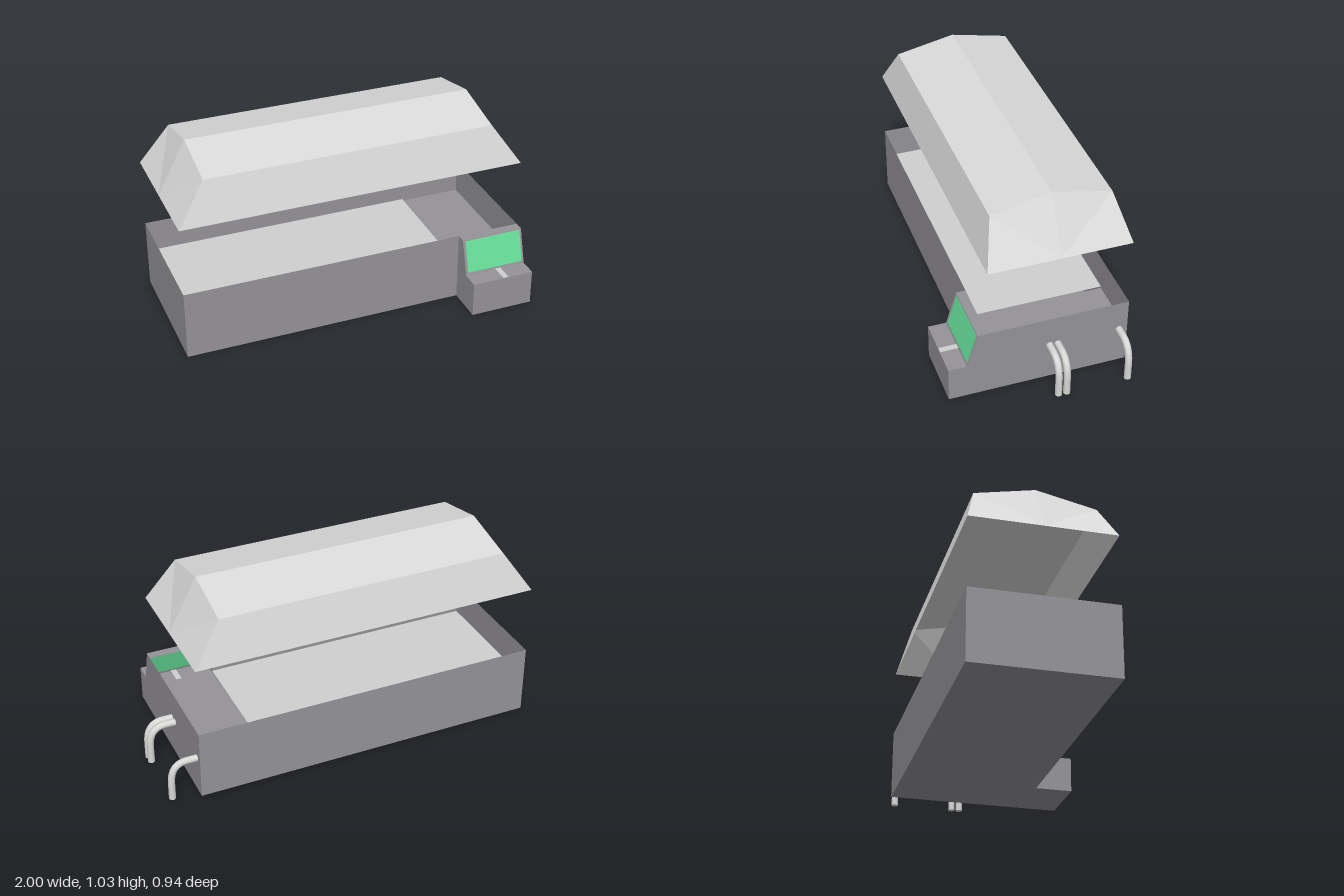
import * as THREE from 'three';

const mat = (name, color) => {
  const m = new THREE.MeshStandardMaterial({ color });
  m.name = name;
  m.side = THREE.DoubleSide;
  return m;
};

// Flat panel: a fan of triangles around its first corner
function panel(parent, name, material, pts) {
  const tris = [];
  for (let i = 1; i < pts.length - 1; i++) tris.push(...pts[0], ...pts[i], ...pts[i + 1]);
  const g = new THREE.BufferGeometry();
  g.setAttribute('position', new THREE.Float32BufferAttribute(tris, 3));
  g.computeVertexNormals();
  const mesh = new THREE.Mesh(g, material);
  mesh.name = name;
  parent.add(mesh);
  return mesh;
}

export function createModel() {
  const root = new THREE.Group();
  root.name = 'tankWithLid';
  const bodyGrey = mat('bodyGrey', 0x959398);
  const lidGrey = mat('lidGrey', 0xdadada);
  const bedGrey = mat('bedGrey', 0xd0d0d0);
  const screenGreen = mat('screenGreen', 0x66de99);
  const pipeGrey = mat('pipeGrey', 0xd8d8d6);

  // Main extents
  const L = -1, R = 0.84, B = -0.47, F = 0.27, H = 0.375;
  const C = 0.5, CF = 0.47, SH = 0.19, SZ = 0.375, TZ = 0.32;

  // Open tank with thin walls
  const tank = new THREE.Group();
  tank.name = 'tank';
  root.add(tank);
  panel(tank, 'bottom', bodyGrey, [[C, 0, F], [L, 0, F], [L, 0, B], [R, 0, B], [R, 0, CF], [C, 0, CF]]);
  panel(tank, 'backWall', bodyGrey, [[R, 0, B], [L, 0, B], [L, H, B], [R, H, B]]);
  panel(tank, 'rightWall', bodyGrey, [[L, 0, B], [L, 0, F], [L, H, F], [L, H, B]]);
  panel(tank, 'frontWall', bodyGrey, [[L, 0, F], [C, 0, F], [C, H, F], [L, H, F]]);
  panel(tank, 'leftWall', bodyGrey, [[R, SH, SZ], [R, 0, CF], [R, 0, B], [R, H, B], [R, H, TZ]]);
  panel(tank, 'leftWallToe', bodyGrey, [[R, SH, SZ], [R, SH, CF], [R, 0, CF]]);
  panel(tank, 'bed', bedGrey, [[L, 0.2, F], [C, 0.2, F], [C, 0.2, B], [L, 0.2, B]]);

  // Control console, open to the tank behind it
  const con = new THREE.Group();
  con.name = 'console';
  root.add(con);
  panel(con, 'shelf', bodyGrey, [[C, SH, CF], [R, SH, CF], [R, SH, B], [C, SH, B]]);
  panel(con, 'consoleFront', bodyGrey, [[C, 0, CF], [R, 0, CF], [R, SH, CF], [C, SH, CF]]);
  panel(con, 'consoleSide', bodyGrey, [[C, SH, SZ], [C, H, TZ], [C, H, F], [C, 0, F], [C, 0, CF], [C, SH, CF]]);
  panel(con, 'consoleTop', bodyGrey, [[C, H, TZ], [R, H, TZ], [R, H, F], [C, H, F]]);

  // Sloping screen and its narrow frame
  const at = (u, v) => [C + (R - C) * u, SH + (H - SH) * v, SZ + (TZ - SZ) * v];
  const outer = [[0, 0], [1, 0], [1, 1], [0, 1]].map(p => at(...p));
  const inner = [[0.04, 0.07], [0.97, 0.07], [0.97, 0.97], [0.04, 0.97]].map(p => at(...p));
  for (let i = 0; i < 4; i++) {
    const j = (i + 1) % 4;
    panel(con, 'screenFrame', bodyGrey, [outer[i], outer[j], inner[j], inner[i]]);
  }
  panel(con, 'screen', screenGreen, inner);

  // Light strip along the shelf
  const strip = new THREE.Mesh(new THREE.BoxGeometry(0.03, 0.004, 0.185), bedGrey);
  strip.name = 'shelfStrip';
  strip.position.set(0.685, SH + 0.001, 0.3755);
  con.add(strip);

  // Raised lid: ridge roof on flared sides, open underneath
  const lid = new THREE.Group();
  lid.name = 'lid';
  root.add(lid);
  const Y0 = 0.745, Y1 = 0.965, Y2 = 1.03, ridgeZ = -0.1;
  const section = (xb, xt) => [
    [xb, Y0, F], [xt, Y1, 0.21], [xt, Y2, ridgeZ], [xt, Y1, -0.41], [xb, Y0, B],
  ];
  const a = section(L, -0.85), b = section(R, 0.69);
  ['lidFront', 'lidRoofFront', 'lidRoofBack', 'lidBack'].forEach((name, i) =>
    panel(lid, name, lidGrey, [a[i], b[i], b[i + 1], a[i + 1]]));
  for (const [s, x] of [[a, L], [b, R]]) {
    const mid = [x, Y0, ridgeZ];
    panel(lid, 'lidEndFront', lidGrey, [mid, s[0], s[1], s[2]]);
    panel(lid, 'lidEndBack', lidGrey, [mid, s[2], s[3], s[4]]);
  }

  // Bent drain pipes
  const r = 0.018, px = 0.979, py = 0.207;
  const path = new THREE.CurvePath();
  const v = (x, y) => new THREE.Vector3(x, y, 0);
  path.add(new THREE.LineCurve3(v(R, py), v(0.89, py)));
  path.add(new THREE.CubicBezierCurve3(v(0.89, py), v(0.95, py), v(px, 0.17), v(px, 0.09)));
  path.add(new THREE.LineCurve3(v(px, 0.09), v(px, 0)));
  const pipeGeo = new THREE.TubeGeometry(path, 40, r, 16);
  const capGeo = new THREE.CircleGeometry(r, 16).rotateX(Math.PI / 2);
  for (const z of [-0.055, -0.098, -0.425]) {
    const pipe = new THREE.Group();
    pipe.name = 'drainPipe';
    const tube = new THREE.Mesh(pipeGeo, pipeGrey);
    tube.name = 'pipeTube';
    const cap = new THREE.Mesh(capGeo, pipeGrey);
    cap.name = 'pipeEnd';
    cap.position.set(px, 0, 0);
    pipe.add(tube, cap);
    pipe.position.z = z;
    root.add(pipe);
  }
  return root;
}
